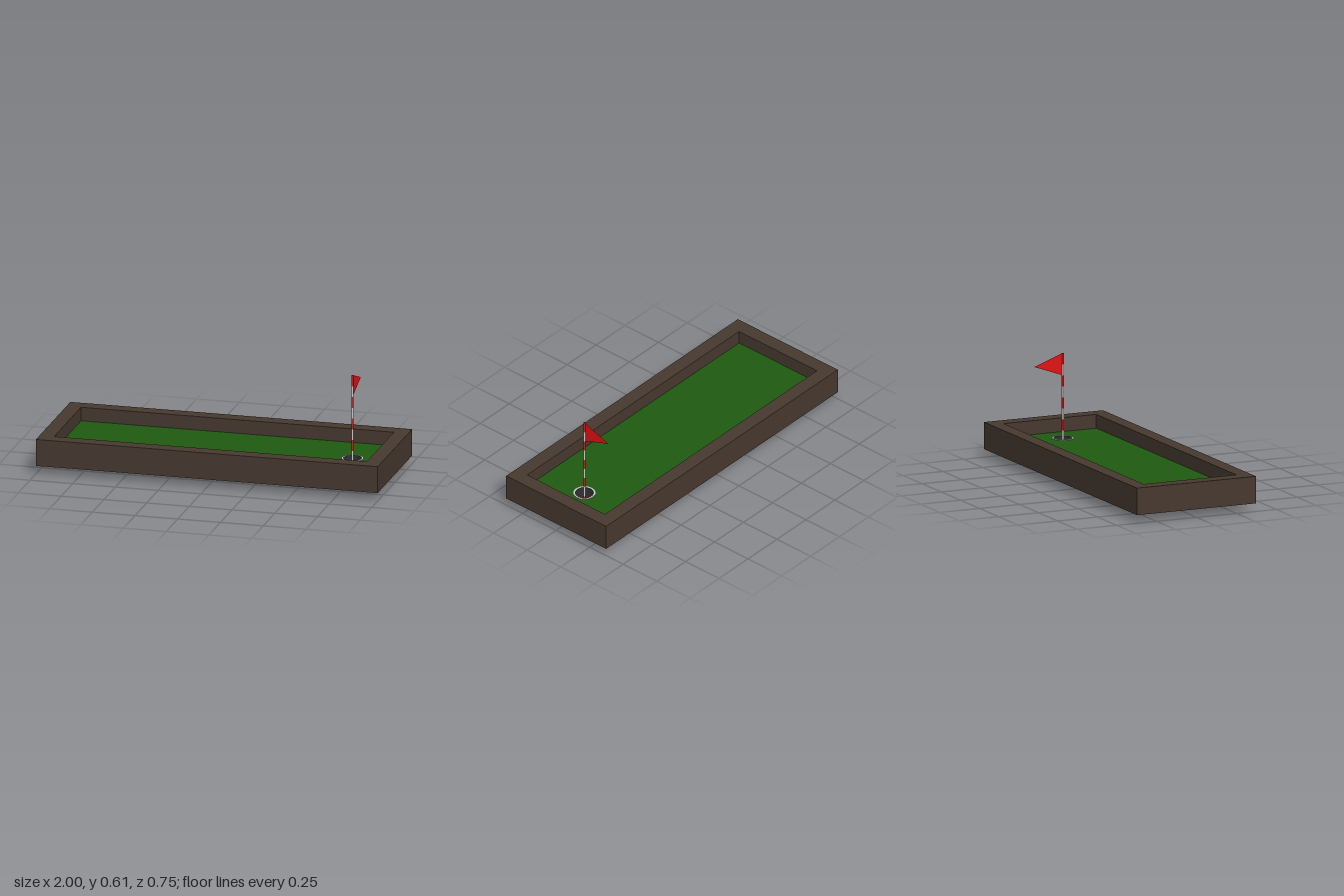
import * as THREE from 'three';

const material = (color, side = THREE.FrontSide) => new THREE.MeshStandardMaterial({ color, side });

function add(parent, name, geometry, mat) {
  const mesh = new THREE.Mesh(geometry, mat);
  mesh.name = name;
  parent.add(mesh);
  return mesh;
}

// Rectangle outline in plan
function rectangle(Type, halfX, halfZ) {
  return new Type([[-1, -1], [1, -1], [1, 1], [-1, 1]].map(([x, z]) => new THREE.Vector2(x * halfX, z * halfZ)));
}

// Extrudes a plan outline upwards from y0 to y1
function slab(shape, y0, y1) {
  return new THREE.ExtrudeGeometry(shape, { depth: y1 - y0, bevelEnabled: false, curveSegments: 32 })
    .rotateX(-Math.PI / 2).translate(0, y0, 0);
}

export function createModel() {
  const model = new THREE.Group();
  model.name = 'puttingGreen';
  const grey = material(0xcccccc);
  const red = material(0xe01012);
  const dark = material(0x302f33);
  const holeX = 0.753, holeZ = 0.003;
  const cupRadius = 0.0625, linerRadius = 0.051;
  const turfTop = 0.123, rimTop = 0.126, floorY = 0.012;

  // Timber surround
  const border = rectangle(THREE.Shape, 1, 0.373);
  border.holes.push(rectangle(THREE.Path, 0.915, 0.29));
  add(model, 'frame', slab(border, 0.047, 0.203), material(0x46382f));

  // Turf with an opening for the cup
  const lawn = rectangle(THREE.Shape, 0.915, 0.29);
  const opening = new THREE.Path();
  opening.absarc(holeX, -holeZ, cupRadius - 0.002, 0, Math.PI * 2, true);
  lawn.holes.push(opening);
  add(model, 'turf', slab(lawn, 0.07, turfTop), material(0x1f5a10));

  // Cup: outer shell with rim, then dark wall and floor inside
  const hole = new THREE.Group();
  hole.name = 'hole';
  hole.position.set(holeX, 0, holeZ);
  model.add(hole);
  add(hole, 'cupWall', new THREE.CylinderGeometry(cupRadius, cupRadius, rimTop, 32, 1, true).translate(0, rimTop / 2, 0), grey);
  add(hole, 'cupBase', new THREE.CircleGeometry(cupRadius, 32).rotateX(Math.PI / 2), grey);
  add(hole, 'cupRim', new THREE.RingGeometry(linerRadius, cupRadius, 32).rotateX(-Math.PI / 2).translate(0, rimTop, 0), grey);
  add(hole, 'cupLiner', new THREE.CylinderGeometry(linerRadius, linerRadius, rimTop - floorY, 32, 1, true)
    .translate(0, (rimTop + floorY) / 2, 0), material(0x302f33, THREE.BackSide));
  add(hole, 'cupFloor', new THREE.CircleGeometry(linerRadius, 32).rotateX(-Math.PI / 2).translate(0, floorY, 0), dark);

  // Striped pole, built downwards from the tip
  const top = 0.614, band = 0.0636;
  for (let i = 0, y = top; y > floorY + 0.001; i++, y -= band) {
    const height = Math.min(band, y - floorY);
    add(hole, 'poleBand', new THREE.CylinderGeometry(0.0065, 0.0065, height, 16).translate(0, y - height / 2, 0),
      i % 2 ? grey : red);
  }

  // Pennant flying towards the back
  const pennant = new THREE.Shape([
    new THREE.Vector2(0.004, top), new THREE.Vector2(0.004, 0.487), new THREE.Vector2(0.179, 0.55),
  ]);
  add(hole, 'flag', new THREE.ShapeGeometry(pennant).rotateY(Math.PI / 2), material(0xe01012, THREE.DoubleSide));

  return model;
}
